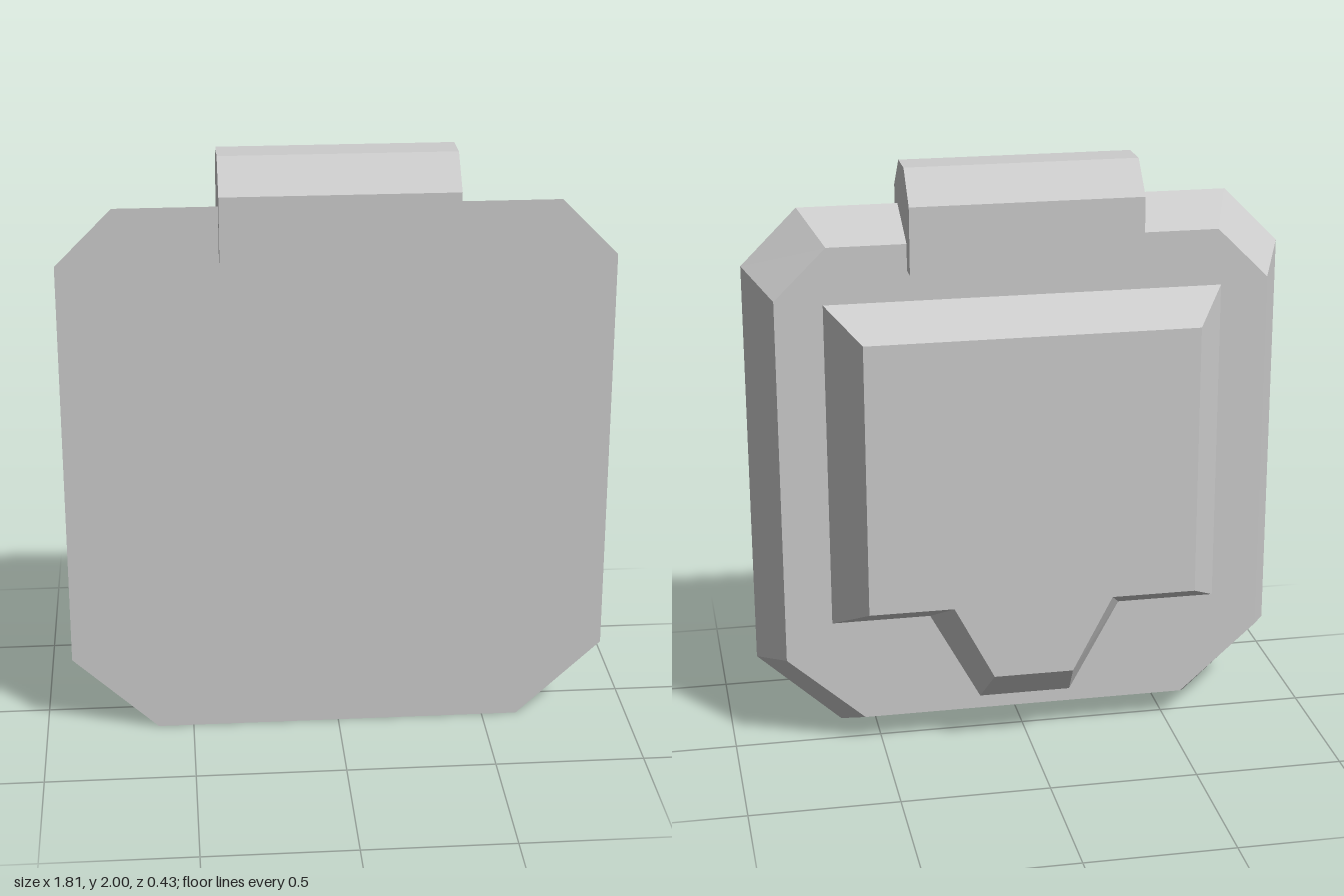
import * as THREE from 'three';

// Completes a right-hand outline (bottom to top) with its mirror, counter-clockwise
function mirrored(half) {
  const right = half.map(([x, y]) => new THREE.Vector2(x, y));
  const left = half.map(([x, y]) => new THREE.Vector2(-x, y)).reverse();
  return [...right, ...left];
}

// Solid between a front outline and a back outline with the same corner count
function loft(frontHalf, frontZ, backHalf, backZ) {
  const front = mirrored(frontHalf);
  const back = mirrored(backHalf);
  const n = front.length;
  const pos = [];
  for (const p of front) pos.push(p.x, p.y, frontZ);
  for (const p of back) pos.push(p.x, p.y, backZ);
  const index = [];
  for (const [a, b, c] of THREE.ShapeUtils.triangulateShape(front, [])) index.push(a, b, c);
  for (const [a, b, c] of THREE.ShapeUtils.triangulateShape(back, [])) index.push(n + c, n + b, n + a);
  for (let i = 0; i < n; i++) {
    const j = (i + 1) % n;
    index.push(i, n + i, n + j, i, n + j, j);
  }
  const g = new THREE.BufferGeometry();
  g.setAttribute('position', new THREE.Float32BufferAttribute(pos, 3));
  g.setIndex(index);
  const flat = g.toNonIndexed();
  flat.computeVertexNormals();
  return flat;
}

export function createModel() {
  const group = new THREE.Group();
  const grey = new THREE.MeshStandardMaterial({ color: 0xcccccc });
  grey.name = 'light grey';

  const add = (name, geometry) => {
    const mesh = new THREE.Mesh(geometry, grey);
    mesh.name = name;
    group.add(mesh);
  };

  // Main plate with cut corners, tapering towards the back
  add('mainPlate', loft(
    [[0.62, 0], [0.907, 0.265], [0.907, 1.66], [0.72, 1.847]], 0.147,
    [[0.557, 0.095], [0.82, 0.33], [0.82, 1.59], [0.648, 1.76]], -0.052));

  // Raised back panel with a bevelled rim and a tab at the bottom
  add('backPanel', loft(
    [[0.157, 0.14], [0.328, 0.455], [0.662, 0.455], [0.662, 1.57]], -0.052,
    [[0.135, 0.285], [0.27, 0.545], [0.555, 0.545], [0.555, 1.475]], -0.215));

  // Chamfered clip across the top edge, profile given as [z, y]
  const profile = [[0.215, 1.672], [-0.117, 1.672], [-0.117, 1.895],
    [-0.013, 2], [0.107, 2], [0.215, 1.895]];
  const shape = new THREE.Shape(profile.map(([z, y]) => new THREE.Vector2(-z, y)));
  const clip = new THREE.ExtrudeGeometry(shape, { depth: 0.77, bevelEnabled: false });
  clip.rotateY(Math.PI / 2).translate(-0.383, 0, 0);
  add('topClip', clip);

  return group;
}
